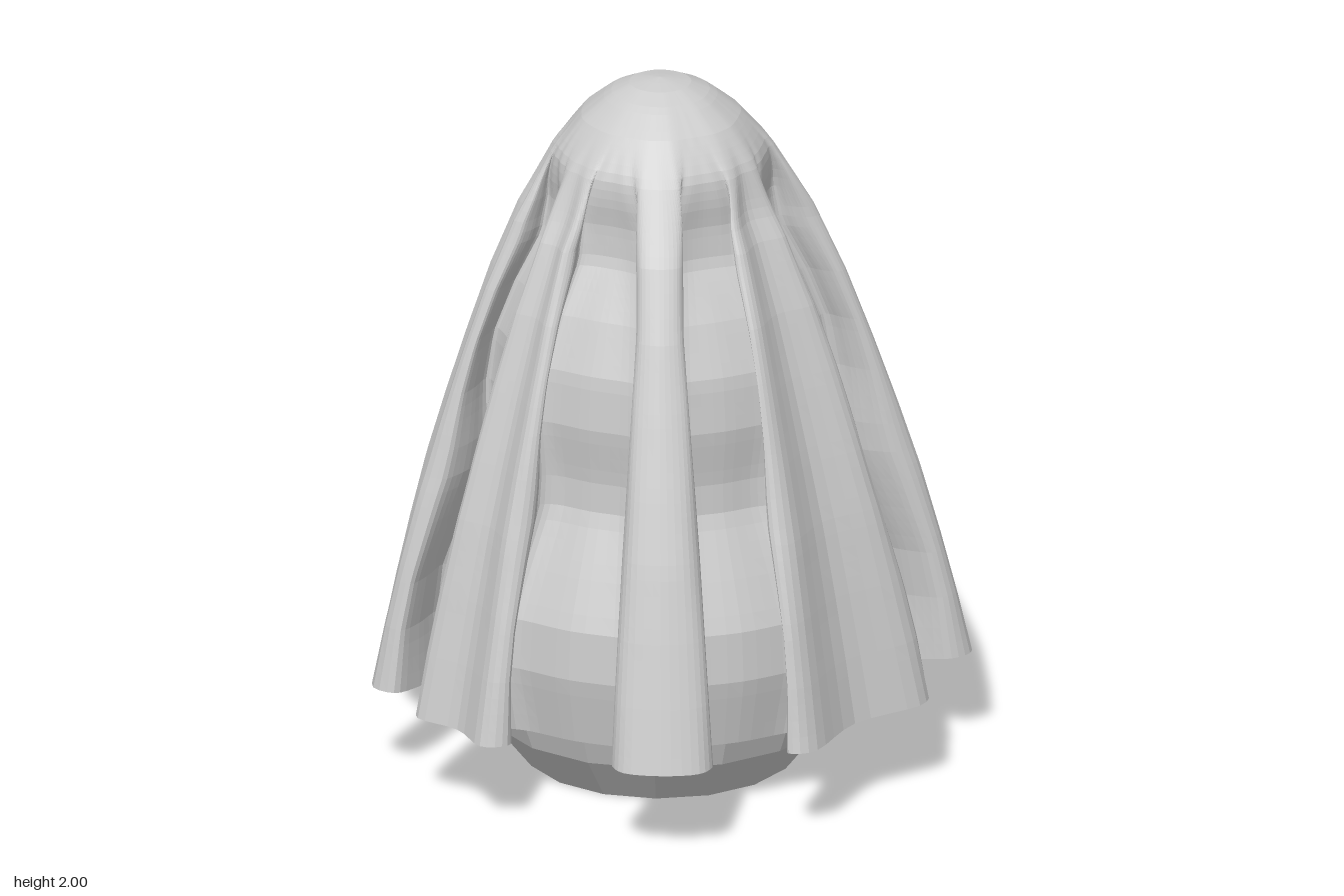
import * as THREE from 'three';

const grey = new THREE.MeshStandardMaterial({ color: 0xcccccc, flatShading: true, side: THREE.DoubleSide });
const CENTRE = { x: -0.03, z: -0.035 };

// Piecewise linear lookup in [height, value] pairs, listed from the top down
function lookup(table, y) {
  for (let i = 1; i < table.length; i++) {
    const [y0, v0] = table[i - 1], [y1, v1] = table[i];
    if (y >= y1) return THREE.MathUtils.lerp(v0, v1, Math.max(0, (y0 - y) / (y0 - y1)));
  }
  return table[table.length - 1][1];
}

// Radius of the fold crests and of the valleys that hug the stacked balls
const CREST = [[2, 0], [1.99, 0.08], [1.96, 0.145], [1.9, 0.22], [1.8, 0.305], [1.6, 0.42], [1.4, 0.505],
  [1.2, 0.575], [1, 0.64], [0.8, 0.7], [0.6, 0.75], [0.4, 0.795], [0.2, 0.835]];
const VALLEY = [[2, 0], [1.96, 0.14], [1.9, 0.2], [1.8, 0.265], [1.7, 0.285], [1.55, 0.295], [1.4, 0.375],
  [1.25, 0.435], [1.1, 0.45], [0.95, 0.43], [0.85, 0.435], [0.7, 0.5], [0.55, 0.56], [0.4, 0.572], [0.2, 0.532]];

// Folds at the hem: direction in degrees, half width, lobe reach, reach of the dent between lobes
const FOLDS = [
  [-66.4, 0.18, 0.84, 0.8], [-18.5, 0.175, 0.83, 0.82], [38.7, 0.29, 0.72, 0.67], [90, 0.14, 0.81, 0.83],
  [139, 0.18, 0.79, 0.76], [183, 0.27, 0.81, 0.73], [238.7, 0.27, 0.81, 0.76],
];

// Closed horizontal section of the cloth at t (0 = crown, 1 = hem)
function clothSection(t) {
  const y = 2 - 1.79 * Math.pow(t, 1.5);
  const crest = lookup(CREST, y), valley = lookup(VALLEY, y), scale = crest / 0.83;
  const fold = 1 - THREE.MathUtils.smoothstep(y, 1.64, 1.9);
  const lift = 0.05 * Math.pow(t, 5);
  const points = [];
  FOLDS.forEach(([deg, halfWidth, reach, dent], i) => {
    const angle = THREE.MathUtils.degToRad(deg);
    const next = THREE.MathUtils.degToRad(i < 6 ? FOLDS[i + 1][0] : FOLDS[0][0] + 360);
    const prev = THREE.MathUtils.degToRad(i > 0 ? FOLDS[i - 1][0] : FOLDS[6][0] - 360);
    const w = Math.max(0.065, halfWidth * Math.pow(scale, 1.5));
    const neck = 0.03 + 0.12 * w;
    const tip = reach * scale, depth = tip - valley;
    // [radial, sideways, freedom from the body]
    const half = [
      [valley, neck + 0.035, 0], [valley + 0.25 * depth, neck, 0.3],
      [valley + 0.5 * depth, THREE.MathUtils.lerp(neck, w, 0.6), 0.7],
      [valley + 0.76 * depth, w, 1], [tip, w * 0.75, 1],
    ];
    const outline = [
      ...half.map(([u, v, k]) => [u, -v, k]), [dent * scale, 0, 1], ...half.reverse(),
    ];
    const add = (u, v, k, offset) => {
      const a = angle + offset, shift = 1 - k * t;
      const x = Math.cos(angle) * u - Math.sin(angle) * v;
      const z = Math.sin(angle) * u + Math.cos(angle) * v;
      points.push(new THREE.Vector3(
        THREE.MathUtils.lerp(Math.cos(a) * crest, x, fold) + CENTRE.x * shift, y + lift * k,
        THREE.MathUtils.lerp(Math.sin(a) * crest, z, fold) + CENTRE.z * shift));
    };
    outline.forEach(([u, v, k], j) => {
      const s = (j - 5) / 6;
      add(u, v, k, s * (s < 0 ? angle - prev : next - angle) / 2);
    });
    // Middle of the valley before the next fold
    const mid = (next - angle) / 2;
    add(valley * Math.cos(mid), valley * Math.sin(mid), 0, mid);
  });
  return new THREE.CatmullRomCurve3(points, true, 'catmullrom', 0.5);
}

// Skin the sections into one open sheet
function clothGeometry(rows = 54, cols = 336) {
  const positions = [], index = [];
  for (let i = 0; i <= rows; i++) {
    const curve = clothSection(i / rows);
    for (let j = 0; j < cols; j++) positions.push(...curve.getPoint(j / cols).toArray());
  }
  for (let i = 0; i < rows; i++) {
    for (let j = 0; j < cols; j++) {
      const a = i * cols + j, b = i * cols + (j + 1) % cols;
      if (i > 0) index.push(a, b, a + cols);
      index.push(b, b + cols, a + cols);
    }
  }
  const geometry = new THREE.BufferGeometry();
  geometry.setAttribute('position', new THREE.Float32BufferAttribute(positions, 3));
  geometry.setIndex(index);
  geometry.computeVertexNormals();
  return geometry;
}

export function createModel() {
  const model = new THREE.Group();
  model.name = 'drapedFigure';

  // Draped sheet with seven flared folds
  const cloth = new THREE.Mesh(clothGeometry(), grey);
  cloth.name = 'drapedCloth';
  model.add(cloth);

  const addPart = (name, geometry, y) => {
    const part = new THREE.Mesh(geometry, grey);
    part.name = name;
    part.position.set(CENTRE.x, y, CENTRE.z);
    model.add(part);
  };

  // Lower ball, cut flat where it stands
  const radius = 0.56, height = 0.41, profile = [new THREE.Vector2(0, -height)];
  const start = -Math.asin(height / radius);
  for (let i = 0; i <= 8; i++) {
    const a = THREE.MathUtils.lerp(start, Math.PI / 2, i / 8);
    profile.push(new THREE.Vector2(radius * Math.cos(a), radius * Math.sin(a)));
  }
  addPart('lowerBall', new THREE.LatheGeometry(profile, 16), height);

  // Middle ball and head under the cloth
  addPart('middleBall', new THREE.IcosahedronGeometry(0.435, 3), 1.13);
  addPart('head', new THREE.IcosahedronGeometry(0.27, 3), 1.7);

  return model;
}
